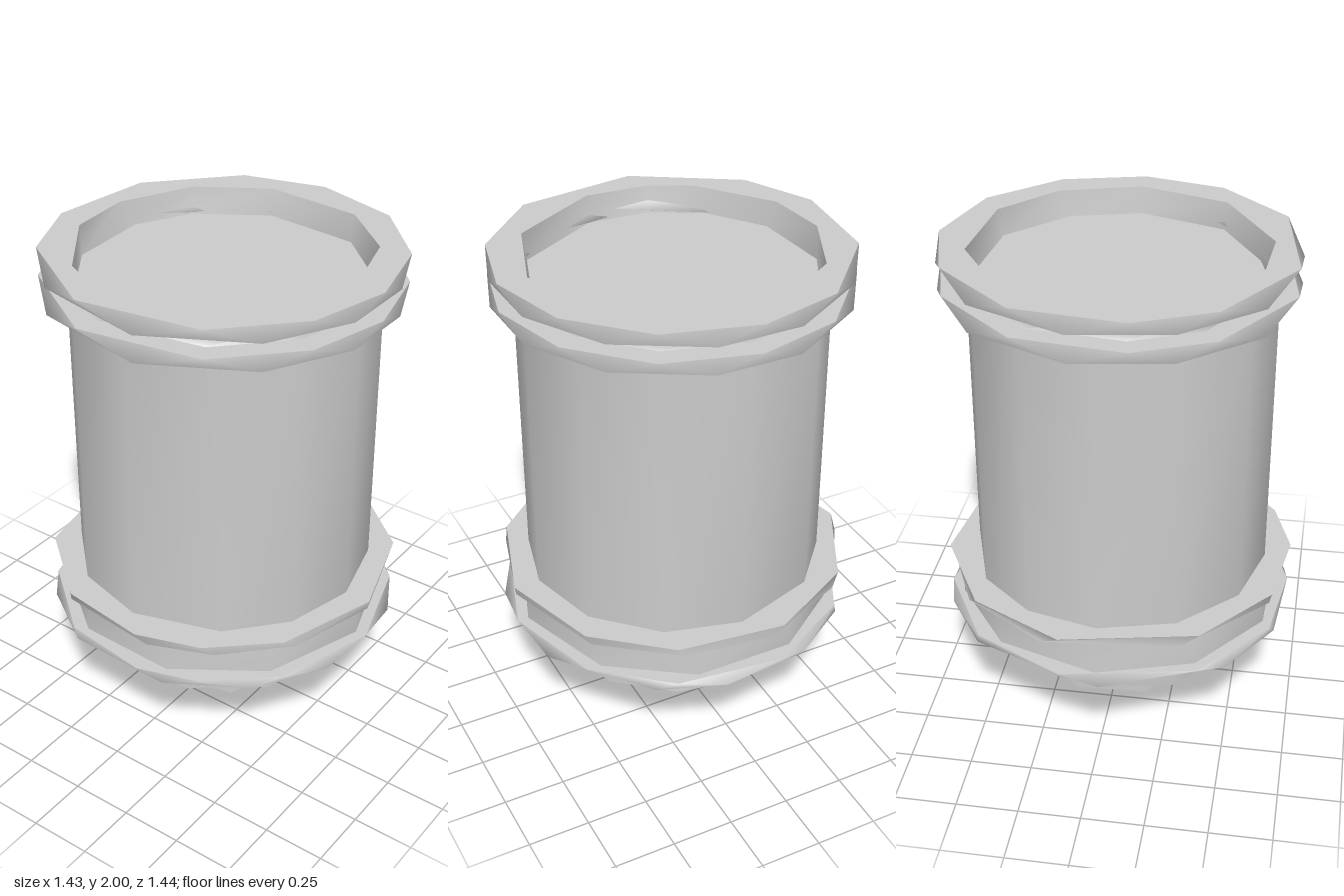
import * as THREE from 'three';
import { mergeGeometries } from 'three/addons/utils/BufferGeometryUtils.js';

// Ring corner angles in degrees, from +z towards +x; mismatched pairs twist the sides
const RIM = [0, 29, 59, 90, 119, 155, 191, 218, 258, 300, 332];
const RIM_LOW = [14, 44, 76, 104, 137, 173, 205, 237, 279, 317, 347];
const MOUTH = [0, 34, 65, 106, 138, 171, 198, 235, 253, 279, 322];
const FLOOR = [0, 30, 64, 106, 139, 165, 201, 229, 253, 279, 322];
const COLLAR = [0, 35, 65, 101, 135, 169, 214, 247, 277, 299, 325];
const COLLAR_LOW = [0, 37, 67, 97, 130, 163, 207, 246, 281, 303, 329];
const SKIRT = [19, 58, 81, 111, 135, 182, 224, 250, 286, 315, 341];
const BAND = [0, 38, 72, 108, 143, 180, 215, 250, 286, 322];
const BARREL = [0, 30, 60, 90, 125, 152, 180, 210, 240, 270, 305, 332];

// One smooth band between two rings [radius, y, angles]
function band(lower, upper) {
  const n = lower[2].length, pos = [], index = [];
  for (const [r, y, angles] of [lower, upper]) {
    for (const deg of angles) {
      const a = THREE.MathUtils.degToRad(deg);
      pos.push(r * Math.sin(a), y, r * Math.cos(a));
    }
  }
  for (let i = 0; i < n; i++) {
    const j = (i + 1) % n;
    if (lower[0] > 0) index.push(i, j, n + j);
    if (upper[0] > 0) index.push(i, n + j, n + i);
  }
  const g = new THREE.BufferGeometry();
  g.setAttribute('position', new THREE.Float32BufferAttribute(pos, 3));
  g.setIndex(index);
  g.computeVertexNormals();
  return g;
}

// Stacked bands, smooth around and creased between rings
function turned(name, rings, material) {
  const bands = rings.slice(1).map((ring, i) => band(rings[i], ring));
  const mesh = new THREE.Mesh(mergeGeometries(bands), material);
  mesh.name = name;
  return mesh;
}

export function createModel() {
  const group = new THREE.Group();
  group.name = 'canister';
  const material = new THREE.MeshStandardMaterial({ color: 0xcccccc, side: THREE.DoubleSide });
  const add = (name, rings) => group.add(turned(name, rings, material));

  // Long barrel
  add('barrel', [[0.612, 0.62, BARREL], [0.612, 1.84, BARREL]]);

  // Double rim with a shallow recess in the top
  add('topRim', [
    [0.56, 1.83, RIM_LOW], [0.7, 1.83, RIM_LOW], [0.705, 1.887, RIM], [0.615, 1.887, RIM],
    [0.615, 1.94, RIM_LOW], [0.7, 1.94, RIM_LOW], [0.705, 2, RIM],
    [0.587, 2, MOUTH], [0.57, 1.89, FLOOR], [0, 1.89, FLOOR],
  ]);

  // Lower collar: two thin flanges around a recessed band
  add('upperFlange', [
    [0.56, 0.6, COLLAR_LOW], [0.715, 0.6, COLLAR_LOW], [0.72, 0.635, COLLAR], [0.56, 0.635, COLLAR],
  ]);
  add('collarBand', [[0.67, 0.45, BAND], [0.662, 0.61, BAND]]);
  add('lowerFlange', [
    [0, 0.43, SKIRT], [0.72, 0.43, SKIRT], [0.715, 0.46, COLLAR], [0.56, 0.46, COLLAR],
  ]);

  // Stepped base: radius, bottom, top, bottom corners, top corners
  const tiers = [
    ['largeTier', 0.545, 0.268, 0.44,
      [0, 35, 66, 90, 130, 172, 212, 250, 290, 325], [0, 36, 72, 107, 132, 157, 203, 238, 270, 315]],
    ['smallTier', 0.386, 0.123, 0.28,
      [0, 32, 66, 114, 160, 205, 252, 310], [0, 38, 75, 115, 165, 205, 255, 310]],
    ['stub', 0.142, 0, 0.135, [0, 85, 145, 215, 275], [0, 78, 152, 210, 272]],
  ];
  for (const [name, r, bottom, top, low, high] of tiers) {
    add(name, [[0, bottom, low], [r, bottom, low], [r, top, high]]);
  }
  return group;
}
